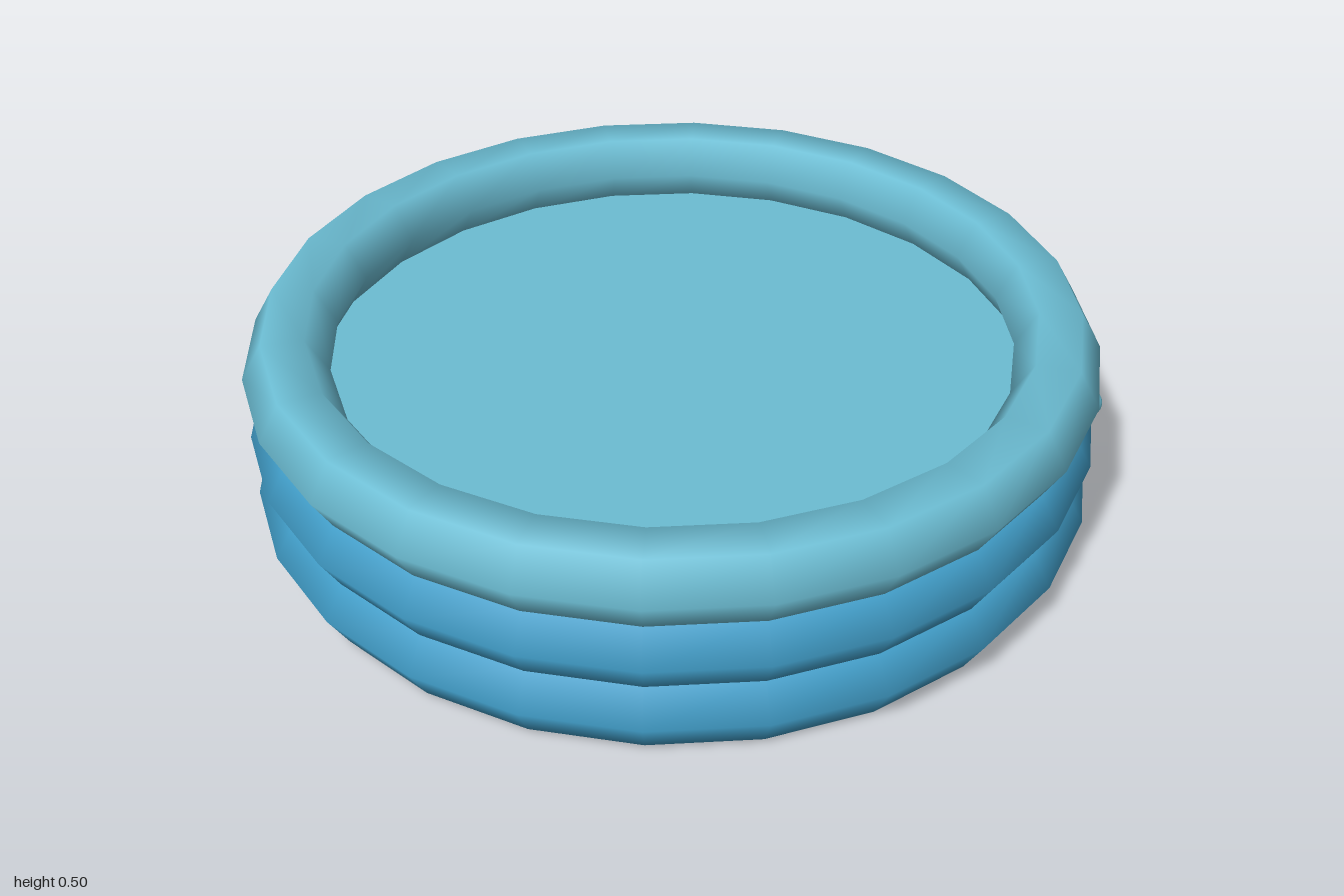
import * as THREE from 'three';

export function createModel() {
  const pool = new THREE.Group();
  pool.name = 'paddlingPool';

  const teal = new THREE.MeshStandardMaterial({ color: 0x6cbdd3 });
  teal.name = 'light teal';
  const blue = new THREE.MeshStandardMaterial({ color: 0x419ec9 });
  blue.name = 'pool blue';

  const cx = -0.0125; // the valve sticks out on +x, so the rings sit slightly off centre

  function add(name, geometry, material, x, y) {
    const mesh = new THREE.Mesh(geometry, material);
    mesh.name = name;
    mesh.position.set(x, y, 0);
    pool.add(mesh);
  }

  // Three stacked inflated rings with six-sided tubes
  const ring = new THREE.TorusGeometry(0.889, 0.0985, 6, 24).rotateX(-Math.PI / 2);
  ['lowerRing', 'middleRing', 'upperRing'].forEach((name, i) => {
    add(name, ring, i === 2 ? teal : blue, cx, 0.098 + i * 0.158);
  });

  // Base sheet under the rings
  add('base', new THREE.CylinderGeometry(0.85, 0.85, 0.03, 48), blue, cx, 0.015);

  // Water surface, tucked in below the upper ring
  add('water', new THREE.CircleGeometry(0.86, 48).rotateX(-Math.PI / 2), teal, cx, 0.338);

  // Inflation valve
  add('valve', new THREE.SphereGeometry(0.033, 16, 12), teal, 0.967, 0.257);

  return pool;
}
